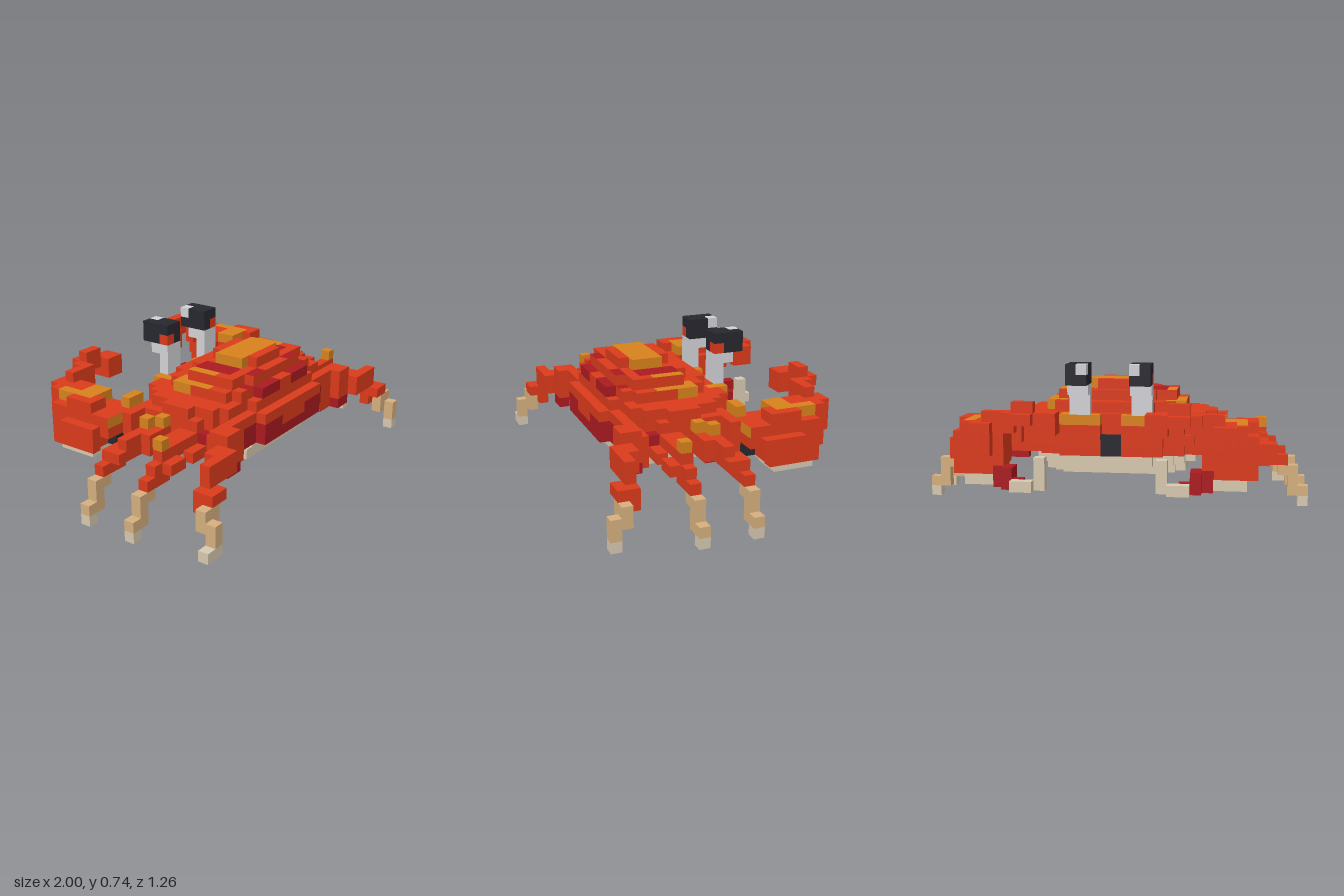
import * as THREE from 'three';

// Cube grid: 38 wide (x), 14 high (y), 24 deep (z)
const NX = 38, NZ = 24, U = 2 / NX;
const COLOURS = {
  shellRed: 0xdb3a1b, darkRed: 0xab1a20, orange: 0xd8821c, tan: 0xd5af7e,
  cream: 0xd7c9b0, black: 0x27272f, paleGrey: 0xd2d2d6,
};
const NAMES = Object.keys(COLOURS);
const [RED, DARK, ORANGE, TAN, CREAM, BLACK, GREY] = NAMES;

// Six cube faces: outward normal and two edge directions with u x v = n
const FACES = [
  [[1, 0, 0], [0, 1, 0], [0, 0, 1]], [[-1, 0, 0], [0, 0, 1], [0, 1, 0]],
  [[0, 1, 0], [0, 0, 1], [1, 0, 0]], [[0, -1, 0], [1, 0, 0], [0, 0, 1]],
  [[0, 0, 1], [1, 0, 0], [0, 1, 0]], [[0, 0, -1], [0, 1, 0], [1, 0, 0]],
];
const TOP = 2, BACK = 4;

export function createModel() {
  const cells = new Map();
  const key = (i, j, k) => `${i},${j},${k}`;
  const put = (part, colour, i, j, k) =>
    cells.set(key(i, j, k), { part, p: [i, j, k], faces: Array(6).fill(colour) });

  // Visit an inclusive block of cubes and its mirror image
  const each = (i0, i1, j0, j1, k0, k1, fn) => {
    for (let i = i0; i <= i1; i++)
      for (let j = j0; j <= j1; j++)
        for (let k = k0; k <= k1; k++) {
          fn(i, j, k, 'right');
          fn(NX - 1 - i, j, k, 'left');
        }
  };
  // Mirrored blocks: one part per side, or one shared part
  const pair = (part, colour, ...r) => each(...r, (i, j, k, side) => put(side + part, colour, i, j, k));
  const both = (part, colour, ...r) => each(...r, (i, j, k) => put(part, colour, i, j, k));
  const carve = (...r) => each(...r, (i, j, k) => cells.delete(key(i, j, k)));
  // Colour one face direction of existing cubes
  const paint = (face, colour, ...r) => each(...r, (i, j, k) => {
    const cell = cells.get(key(i, j, k));
    if (cell) cell.faces[face] = colour;
  });

  // Body: stacked rounded layers [height, half width, centre z, half depth, colour]
  const layers = [
    [3, 7.2, 14.5, 4.7, CREAM], [4, 7.7, 13.5, 5.6, CREAM], [5, 9.4, 14.5, 6.5, RED],
    [6, 10.1, 14.5, 6.6, RED], [7, 9.8, 14.4, 6.5, RED], [8, 9.6, 14.2, 5.9, RED],
    [9, 7.4, 15, 5.1, RED], [10, 6.3, 15.5, 3.7, RED],
  ];
  for (const [j, a, kc, b, colour] of layers)
    for (let i = 0; i < NX; i++)
      for (let k = 0; k < NZ; k++) {
        const d = Math.abs((i + 0.5 - 19) / a) ** 2.5 + Math.abs((k + 0.5 - kc) / b) ** 2.5;
        if (d > 1) continue;
        const rear = (j === 5 || j === 6) && k >= 17 && i > 11 && i < 26;
        put(j < 5 ? 'belly' : 'shell', rear ? DARK : colour, i, j, k);
      }
  both('shell', RED, 17, 18, 6, 6, 20, 20);
  // Crown and shell markings
  both('shell', RED, 17, 18, 11, 11, 13, 17);
  both('shell', ORANGE, 16, 18, 11, 11, 14, 16);
  both('shell', DARK, 14, 15, 9, 9, 18, 18);
  both('shell', DARK, 15, 17, 9, 9, 19, 19);
  both('shell', DARK, 9, 9, 6, 6, 17, 17);
  both('shell', ORANGE, 12, 13, 9, 9, 12, 13);
  paint(BACK, RED, 14, 14, 9, 9, 18, 18);
  paint(TOP, DARK, 14, 15, 10, 10, 13, 16);
  paint(TOP, DARK, 14, 16, 10, 10, 18, 18);
  paint(TOP, ORANGE, 12, 13, 9, 10, 12, 15);
  // Brow and mouth, open above the mouth
  both('brow', RED, 14, 18, 5, 8, 9, 9);
  both('brow', RED, 14, 17, 5, 7, 8, 8);
  both('brow', ORANGE, 14, 17, 8, 8, 8, 8);
  both('brow', ORANGE, 14, 14, 8, 8, 9, 9);
  carve(18, 18, 7, 8, 8, 8);
  both('mouth', BLACK, 18, 18, 5, 6, 8, 8);

  // Eyes on stalks
  pair('EyeStalk', GREY, 15, 16, 9, 11, 8, 8);
  pair('EyeStalk', GREY, 15, 16, 11, 11, 7, 7);
  pair('Eye', BLACK, 15, 16, 12, 13, 6, 8);
  pair('Eye', RED, 15, 15, 12, 12, 8, 8);
  pair('Eye', GREY, 16, 16, 13, 13, 6, 6);

  // Arms
  pair('Arm', RED, 7, 12, 5, 7, 10, 10);
  pair('Arm', RED, 9, 12, 5, 7, 11, 11);
  pair('Arm', RED, 5, 9, 6, 7, 9, 9);
  pair('Arm', ORANGE, 8, 9, 8, 8, 9, 9);
  pair('Arm', BLACK, 6, 6, 5, 5, 9, 9);

  // Claws: palm, cream underside, upper and lower fingers
  pair('Claw', RED, 4, 4, 5, 6, 5, 8);
  pair('Claw', RED, 5, 8, 5, 7, 5, 8);
  pair('Claw', RED, 5, 9, 5, 7, 3, 4);
  pair('Claw', RED, 5, 8, 4, 4, 3, 7);
  pair('Claw', RED, 6, 9, 5, 8, 2, 2);
  pair('Claw', RED, 7, 8, 6, 8, 1, 1);
  pair('Claw', RED, 5, 5, 8, 8, 5, 7);
  pair('Claw', RED, 6, 6, 8, 8, 7, 7);
  pair('Claw', RED, 6, 8, 8, 8, 3, 4);
  pair('Claw', ORANGE, 6, 6, 8, 8, 3, 4);
  pair('Claw', ORANGE, 6, 8, 8, 8, 5, 6);
  pair('Claw', CREAM, 6, 8, 3, 3, 3, 6);
  pair('Claw', CREAM, 6, 7, 4, 4, 7, 7);
  paint(BACK, ORANGE, 5, 6, 7, 7, 8, 9);
  pair('UpperFinger', RED, 8, 10, 8, 9, 2, 2);
  pair('UpperFinger', RED, 10, 14, 9, 9, 1, 1);
  pair('UpperFinger', RED, 11, 12, 10, 10, 1, 1);
  pair('UpperFinger', RED, 11, 12, 9, 9, 0, 0);
  pair('UpperFinger', RED, 13, 14, 8, 9, 1, 2);
  pair('LowerFinger', DARK, 9, 10, 3, 4, 2, 2);
  pair('LowerFinger', DARK, 10, 11, 3, 3, 1, 1);
  pair('LowerFinger', DARK, 10, 10, 4, 4, 1, 1);
  pair('LowerFinger', CREAM, 11, 12, 3, 3, 0, 0);
  pair('LowerFinger', CREAM, 13, 13, 3, 5, 1, 1);

  // Front and middle legs: same arch, different sweep in depth
  const arch = (part, zTip, zMid, zRoot, iJoint) => {
    pair(part, RED, 6, 10, 5, 6, zRoot, zRoot);
    pair(part, RED, 4, 8, 6, 6, zMid, zMid);
    pair(part, RED, 3, 5, 5, 5, zMid, zMid);
    pair(part, RED, 3, 4, 4, 5, zTip, zTip);
    pair(part, RED, 2, 3, 4, 4, zTip, zTip);
    pair(part, ORANGE, iJoint, iJoint, 7, 7, zMid, zMid);
    pair(part, TAN, 1, 2, 3, 3, zTip, zTip);
    pair(part, TAN, 1, 1, 1, 2, zTip, zTip);
    pair(part, TAN, 0, 0, 1, 1, zTip, zTip);
    pair(part, CREAM, 0, 0, 0, 0, zTip, zTip);
  };
  arch('FrontLeg', 11, 12, 13, 7);
  pair('FrontLeg', DARK, 8, 9, 4, 4, 12, 12);
  pair('FrontLeg', ORANGE, 8, 8, 7, 7, 13, 13);
  arch('MiddleLeg', 16, 16, 15, 4);
  pair('MiddleLeg', RED, 4, 5, 5, 5, 17, 17);
  pair('MiddleLeg', RED, 7, 9, 5, 5, 17, 17);

  // Rear legs
  pair('RearLeg', RED, 9, 11, 4, 6, 18, 18);
  pair('RearLeg', RED, 8, 11, 5, 7, 19, 19);
  pair('RearLeg', RED, 10, 11, 4, 4, 19, 19);
  pair('RearLeg', RED, 6, 9, 5, 6, 20, 20);
  pair('RearLeg', RED, 8, 9, 7, 7, 20, 20);
  pair('RearLeg', DARK, 8, 9, 4, 4, 19, 20);
  pair('RearLeg', RED, 4, 7, 5, 6, 21, 21);
  pair('RearLeg', RED, 3, 4, 3, 4, 21, 21);
  pair('RearLeg', RED, 3, 4, 4, 4, 22, 22);
  pair('RearLeg', TAN, 2, 3, 2, 3, 22, 22);
  pair('RearLeg', TAN, 2, 2, 1, 2, 23, 23);
  pair('RearLeg', CREAM, 2, 2, 0, 0, 23, 23);
  put('rightRearLeg', CREAM, 1, 0, 23);

  // One mesh per part, with one geometry group per colour, outer faces only
  const materials = Object.fromEntries(NAMES.map((name) =>
    [name, new THREE.MeshStandardMaterial({ name, color: COLOURS[name] })]));
  const parts = new Map();
  for (const c of cells.values()) {
    if (!parts.has(c.part)) parts.set(c.part, []);
    parts.get(c.part).push(c);
  }
  const group = new THREE.Group();
  group.name = 'crab';
  for (const [name, list] of parts) {
    const pos = [], nor = [], used = [];
    const geo = new THREE.BufferGeometry();
    for (const colour of NAMES) {
      const start = pos.length / 3;
      for (const { p, faces } of list)
        FACES.forEach(([n, u, v], f) => {
          if (faces[f] !== colour || cells.has(key(p[0] + n[0], p[1] + n[1], p[2] + n[2]))) return;
          for (const [a, b] of [[0, 0], [1, 0], [1, 1], [0, 0], [1, 1], [0, 1]]) {
            const q = p.map((c, d) => c + Math.max(n[d], 0) + a * u[d] + b * v[d]);
            pos.push((q[0] - NX / 2) * U, q[1] * U, (q[2] - NZ / 2) * U);
            nor.push(...n);
          }
        });
      const count = pos.length / 3 - start;
      if (!count) continue;
      geo.addGroup(start, count, used.length);
      used.push(materials[colour]);
    }
    geo.setAttribute('position', new THREE.Float32BufferAttribute(pos, 3));
    geo.setAttribute('normal', new THREE.Float32BufferAttribute(nor, 3));
    const mesh = new THREE.Mesh(geo, used);
    mesh.name = name;
    group.add(mesh);
  }
  return group;
}
